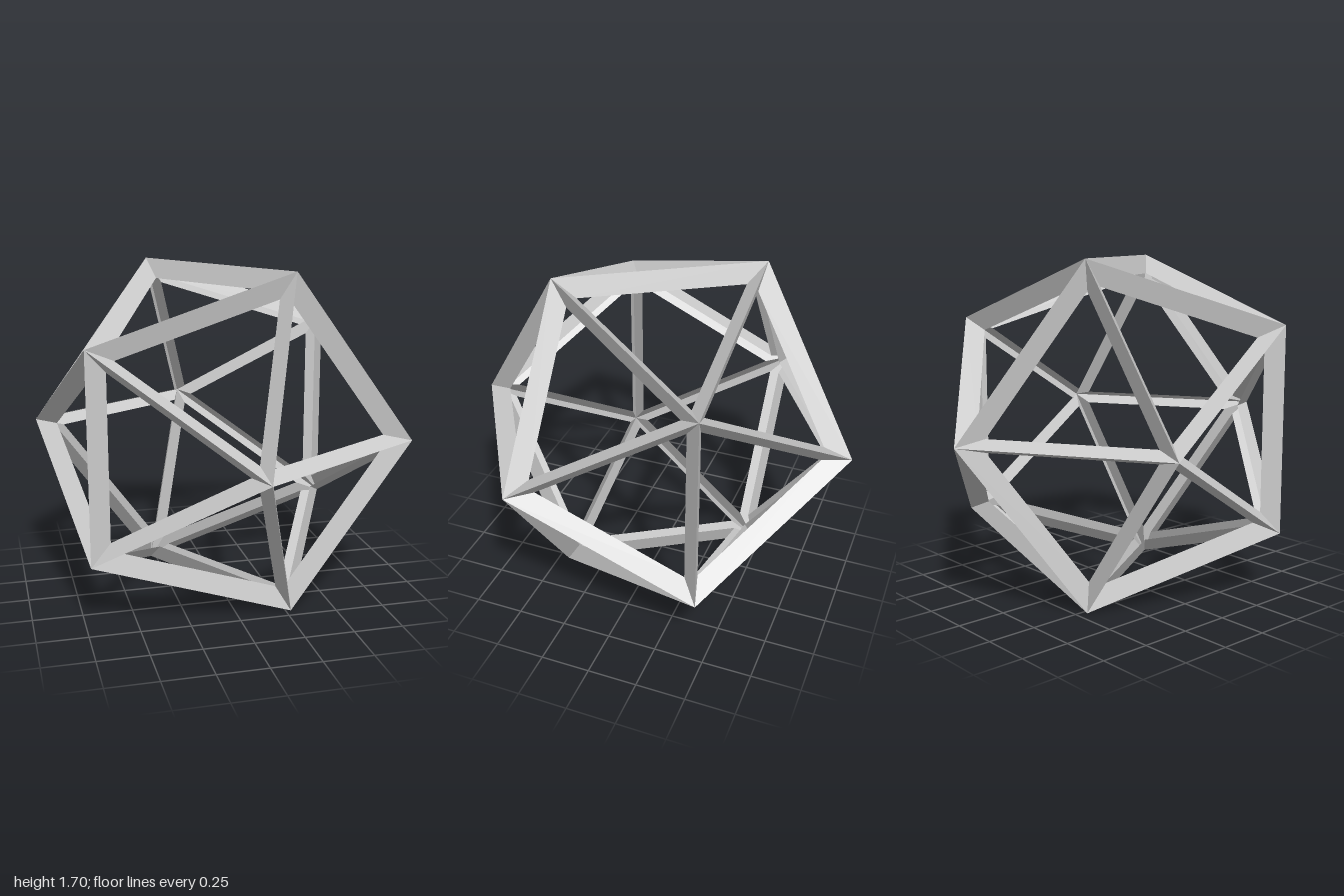
import * as THREE from 'three';

const RING_R = 2 / Math.sqrt(5), RING_Z = 1 / Math.sqrt(5);
const CENTRE_Y = RING_R * Math.sin(Math.PI * 0.4);
const DEPTH = 0.9;    // inner window plane, as a fraction of the outer one
const SHRINK = 0.872; // inner window size about its own centre

const material = new THREE.MeshStandardMaterial({
  color: 0xcccccc, flatShading: true, side: THREE.DoubleSide,
});

// Three sloping strips joining a face's outer edges to its sunken window
function windowFrame(corners) {
  const centre = new THREE.Vector3();
  corners.forEach((c) => centre.addScaledVector(c, 1 / 3));
  const inner = corners.map((c) => centre.clone().lerp(c, SHRINK).multiplyScalar(DEPTH));
  const points = [];
  for (let i = 0; i < 3; i++) {
    const j = (i + 1) % 3;
    points.push(corners[i], corners[j], inner[j], corners[i], inner[j], inner[i]);
  }
  const geometry = new THREE.BufferGeometry().setFromPoints(points);
  geometry.computeVertexNormals();
  return new THREE.Mesh(geometry, material);
}

export function createModel() {
  const group = new THREE.Group();
  group.name = 'openIcosahedron';
  const frame = new THREE.Group();
  frame.name = 'strutFrame';
  frame.position.y = CENTRE_Y;
  group.add(frame);

  // Front and back poles, with a five-point ring behind each
  const ringPoint = (degrees, z) => {
    const a = THREE.MathUtils.degToRad(degrees);
    return new THREE.Vector3(RING_R * Math.cos(a), RING_R * Math.sin(a), z);
  };
  const frontPole = new THREE.Vector3(0, 0, 1);
  const backPole = new THREE.Vector3(0, 0, -1);
  const front = (i) => ringPoint(72 * i, RING_Z);
  const back = (i) => ringPoint(72 * i + 36, -RING_Z);

  const add = (name, ...corners) => {
    const mesh = windowFrame(corners);
    mesh.name = name;
    frame.add(mesh);
  };
  for (let i = 0; i < 5; i++) {
    add('frontCapWindow', frontPole, front(i), front(i + 1));
    add('backCapWindow', backPole, back(i + 1), back(i));
    add('frontBandWindow', front(i), back(i), front(i + 1));
    add('backBandWindow', back(i), back(i + 1), front(i + 1));
  }
  return group;
}
